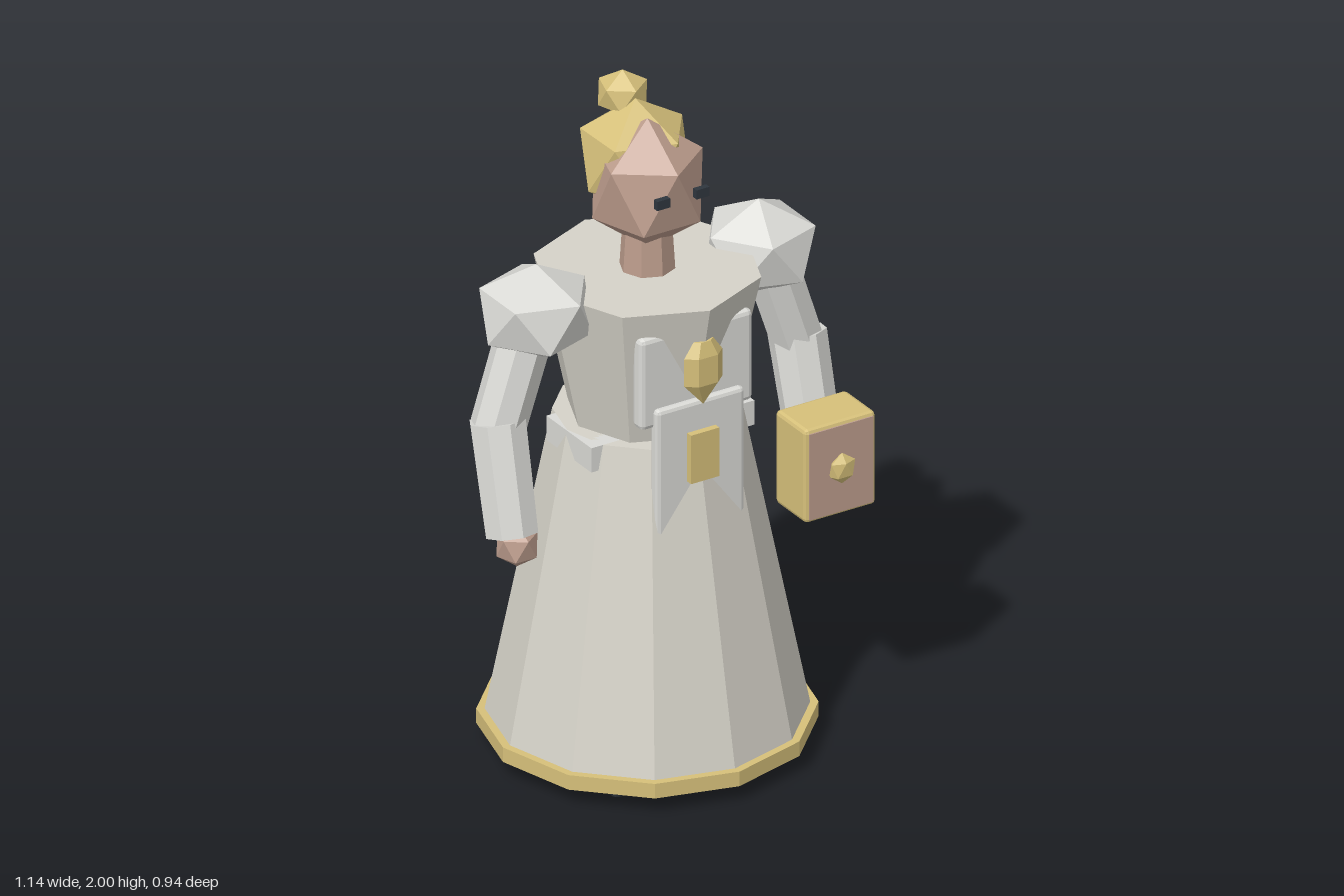
import * as THREE from 'three';
import { RoundedBoxGeometry } from 'three/addons/geometries/RoundedBoxGeometry.js';

const paint = (name, color) => Object.assign(new THREE.MeshStandardMaterial({ color }), { name });

// Faceted normals for a low-poly look
function facet(geometry) {
  const g = geometry.index ? geometry.toNonIndexed() : geometry;
  g.computeVertexNormals();
  return g;
}

// Icosahedron standing on one corner; at yaw 0 an upper corner points to -x
function gem(rx, ry, rz, yaw = 0) {
  return new THREE.IcosahedronGeometry(1, 0)
    .rotateZ(Math.atan2(0.5257, 0.8507)).rotateY(yaw).scale(rx, ry, rz);
}

// Eight-sided limb between two points
function limb(a, b, ra, rb) {
  const from = new THREE.Vector3(...a), dir = new THREE.Vector3(...b).sub(from);
  const g = new THREE.CylinderGeometry(rb, ra, dir.length(), 8);
  g.translate(0, dir.length() / 2, 0);
  g.applyQuaternion(new THREE.Quaternion().setFromUnitVectors(
    new THREE.Vector3(0, 1, 0), dir.normalize()));
  return g.translate(...a);
}

export function createModel() {
  const model = new THREE.Group();
  model.name = 'lady';
  const dress = paint('dress cream', 0xd5d2c8);
  const linen = paint('linen white', 0xdadad6);
  const gold = paint('gold', 0xd6c07a);
  const skin = paint('skin', 0xbd9d8d);
  const dark = paint('dark slate', 0x2f363e);

  function add(name, geometry, material, x = 0, y = 0, z = 0) {
    const mesh = new THREE.Mesh(facet(geometry), material);
    mesh.name = name;
    mesh.position.set(x, y, z);
    model.add(mesh);
    return mesh;
  }
  // Chamfered box given by its limits
  function block(name, material, [x0, x1], [y0, y1], [z0, z1], bevel = 0) {
    const size = [x1 - x0, y1 - y0, z1 - z0];
    const g = bevel ? new RoundedBoxGeometry(...size, 1, bevel) : new THREE.BoxGeometry(...size);
    return add(name, g, material, (x0 + x1) / 2, (y0 + y1) / 2, (z0 + z1) / 2);
  }

  // Skirt, hem and bodice
  add('hem', new THREE.CylinderGeometry(0.47, 0.47, 0.045, 12), gold, 0, 0.0725, 0);
  add('skirt', new THREE.CylinderGeometry(0.262, 0.452, 0.95, 12), dress, 0, 0.545, 0);
  add('bodice', new THREE.CylinderGeometry(0.32, 0.22, 0.455, 8), dress, 0, 1.2275, 0);

  // Apron, bib and waist tie, partly sunk into the dress
  block('apron', linen, [-0.143, 0.143], [0.7, 1.16], [0.235, 0.275], 0.012);
  block('bib', linen, [-0.182, 0.182], [1.1, 1.38], [0.205, 0.255], 0.014);
  block('waistTie', linen, [-0.265, 0.265], [0.945, 1.02], [-0.1, 0.13]);
  block('apronBadge', gold, [-0.046, 0.046], [0.92, 1.07], [0.265, 0.295]);

  // Brooch: a six-sided pointed jewel
  const brooch = [[0, -0.1], [0.062, -0.03], [0.062, 0.055], [0.032, 0.098], [0, 0.1]];
  add('brooch', new THREE.LatheGeometry(brooch.map(p => new THREE.Vector2(...p)), 6)
    .rotateY(Math.PI / 6).scale(1, 1, 0.5), gold, 0, 1.252, 0.285);

  // Head and hair
  add('neck', new THREE.CylinderGeometry(0.07, 0.08, 0.16, 8), skin, 0, 1.51, 0);
  add('head', gem(0.175, 0.2, 0.175, Math.PI / 2), skin, 0, 1.71, 0);
  add('hair', gem(0.172, 0.17, 0.165, Math.PI / 2 + 0.33), gold, 0.005, 1.77, -0.07);
  add('hairBun', gem(0.078, 0.07, 0.078, Math.PI / 2), gold, 0.005, 1.93, -0.135);

  // Mirrored parts
  for (const s of [1, -1]) {
    const side = s > 0 ? 'left' : 'right';
    add(side + 'Eye', new THREE.BoxGeometry(0.042, 0.028, 0.018), dark, s * 0.064, 1.741, 0.175);
    add(side + 'Puff', gem(0.175, 0.143, 0.175, s > 0 ? 0 : Math.PI), linen, s * 0.362, 1.417, 0);
    add(side + 'UpperSleeve', limb([s * 0.378, 1.42, 0], [s * 0.487, 1.09, 0], 0.08, 0.078), linen);
    add(side + 'LowerSleeve', limb([s * 0.487, 1.115, 0], [s * 0.492, 0.8, 0.08], 0.083, 0.078), linen);
    add(side + 'Hand', gem(0.065, 0.068, 0.065, Math.PI / 2), skin, s * 0.488, 0.773, 0.1);
    const shoeX = [s * 0.175 - 0.11, s * 0.175 + 0.11];
    block(side + 'Shoe', dark, shoeX, [0, 0.056], [-0.1, 0.28], 0.018);
  }

  // Carried case with coloured panels and a clasp
  block('case', gold, [0.332, 0.562], [0.685, 0.972], [0.13, 0.286], 0.012);
  for (const z of [0.127, 0.285]) {
    block('casePanel', skin, [0.343, 0.551], [0.696, 0.961], [z, z + 0.005]);
  }
  add('caseClasp', gem(0.045, 0.047, 0.024, Math.PI / 2), gold, 0.446, 0.832, 0.294);

  return model;
}
